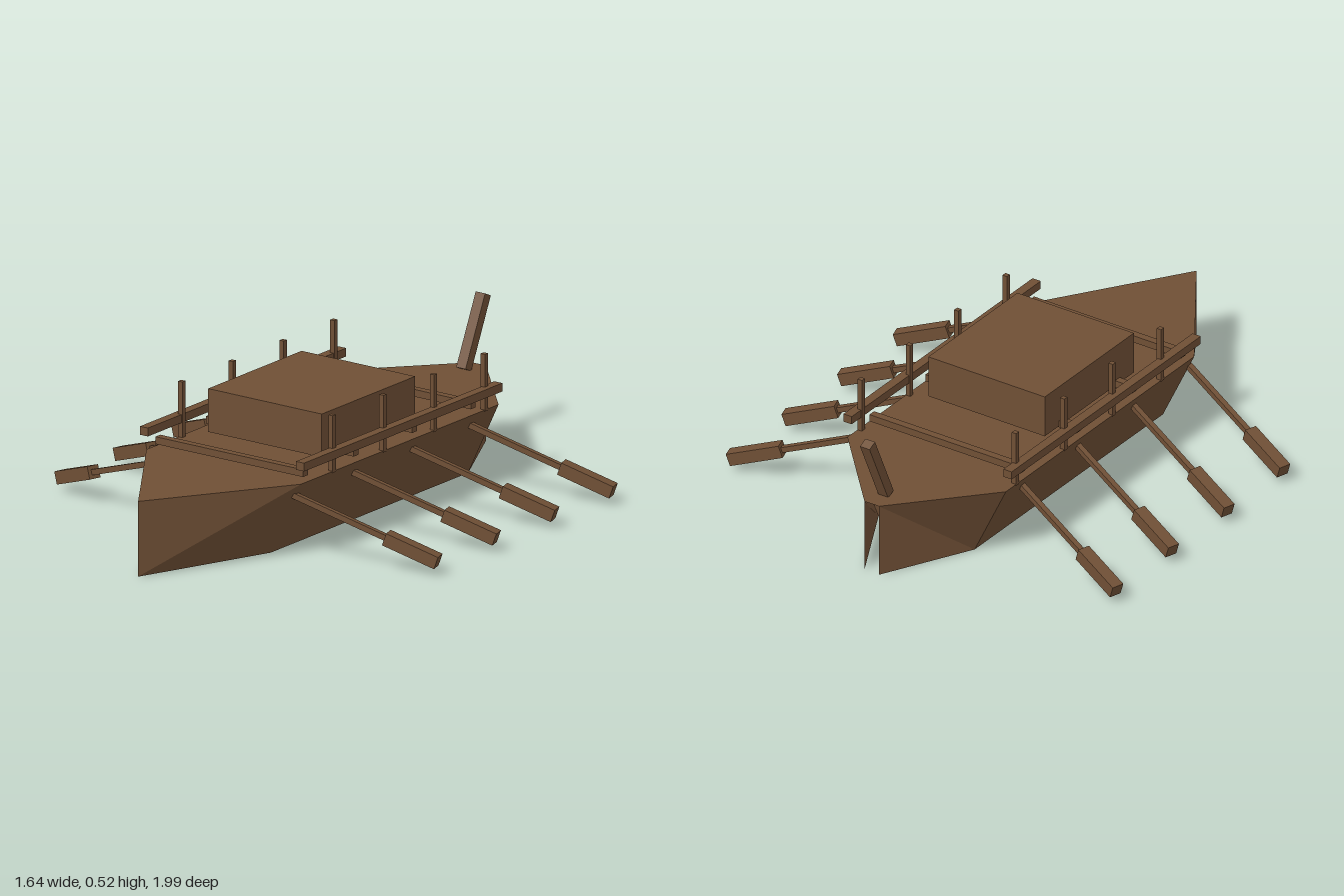
import * as THREE from 'three';

export function createModel() {
  const boat = new THREE.Group();
  boat.name = 'rowingBoat';
  const wood = new THREE.MeshStandardMaterial({ color: 0x6f4f35, flatShading: true, side: THREE.DoubleSide });

  function box(name, w, h, d, x, y, z, parent = boat) {
    const mesh = new THREE.Mesh(new THREE.BoxGeometry(w, h, d), wood);
    mesh.name = name;
    mesh.position.set(x, y, z);
    parent.add(mesh);
    return mesh;
  }

  function faces(name, triangles) {
    const geometry = new THREE.BufferGeometry();
    geometry.setAttribute('position', new THREE.Float32BufferAttribute(triangles.flat(2), 3));
    geometry.computeVertexNormals();
    const mesh = new THREE.Mesh(geometry, wood);
    mesh.name = name;
    boat.add(mesh);
  }

  // Hull sides: thin faceted shells, open underneath and at the narrow stern
  const top = 0.27;
  for (const s of [1, -1]) {
    const bowTop = [0, top, 0.99], bowFoot = [0, 0, 0.99];
    const foreTop = [s * 0.33, top, 0.5], foreFoot = [s * 0.2, 0, 0.5];
    const aftTop = [s * 0.33, top, -0.63], aftFoot = [s * 0.2, 0, -0.63];
    const sternTop = [s * 0.03, top, -0.96], sternFoot = [s * 0.03, 0, -0.96];
    const side = [
      [bowTop, bowFoot, foreTop],
      [bowFoot, foreFoot, foreTop],
      [foreTop, foreFoot, aftFoot],
      [foreTop, aftFoot, aftTop],
      [aftTop, aftFoot, sternTop],
      [aftFoot, sternFoot, sternTop],
    ];
    faces(s > 0 ? 'leftHullSide' : 'rightHullSide',
      s > 0 ? side : side.map(([a, b, c]) => [a, c, b]));
  }

  // Deck
  const outline = [[0, 0.99], [0.33, 0.5], [0.33, -0.63], [0.03, -0.96],
    [-0.03, -0.96], [-0.33, -0.63], [-0.33, 0.5]].map(([x, z]) => [x, top, z]);
  faces('deck', outline.slice(1, -1).map((p, i) => [outline[0], p, outline[i + 2]]));

  // Cabin
  box('cabin', 0.485, 0.155, 0.535, 0, 0.368, -0.003);

  // Cross beams
  for (const z of [0.455, 0.165, -0.17, -0.505]) {
    box('crossBeam', 0.63, 0.026, 0.028, 0, 0.298, z);
  }

  // Rails and their uprights
  for (const s of [1, -1]) {
    box('rail', 0.034, 0.03, 1.135, s * 0.333, 0.337, -0.057);
    for (const z of [0.31, 0.02, -0.27, -0.56]) {
      box('railPost', 0.018, 0.205, 0.018, s * 0.321, 0.367, z);
    }
  }

  // Oars: a slim shaft with a square blade, sloping down and back
  for (const s of [1, -1]) {
    for (let i = 0; i < 4; i++) {
      const z = 0.51 - i * 0.334;
      const start = new THREE.Vector3(s * 0.28, 0.235, z);
      const end = new THREE.Vector3(s * 0.805, 0.045, z - 0.158);
      const length = start.distanceTo(end);
      const oar = new THREE.Group();
      oar.name = 'oar';
      oar.position.copy(start);
      oar.lookAt(end);
      box('oarShaft', 0.02, 0.02, length - 0.1, 0, 0, (length - 0.1) / 2, oar);
      box('oarBlade', 0.046, 0.046, 0.2, 0, 0, length - 0.1, oar);
      boat.add(oar);
    }
  }

  // Raked stern post
  const post = box('sternPost', 0.04, 0.268, 0.036, 0, 0.395, -0.929);
  post.rotation.x = -0.43;

  return boat;
}
